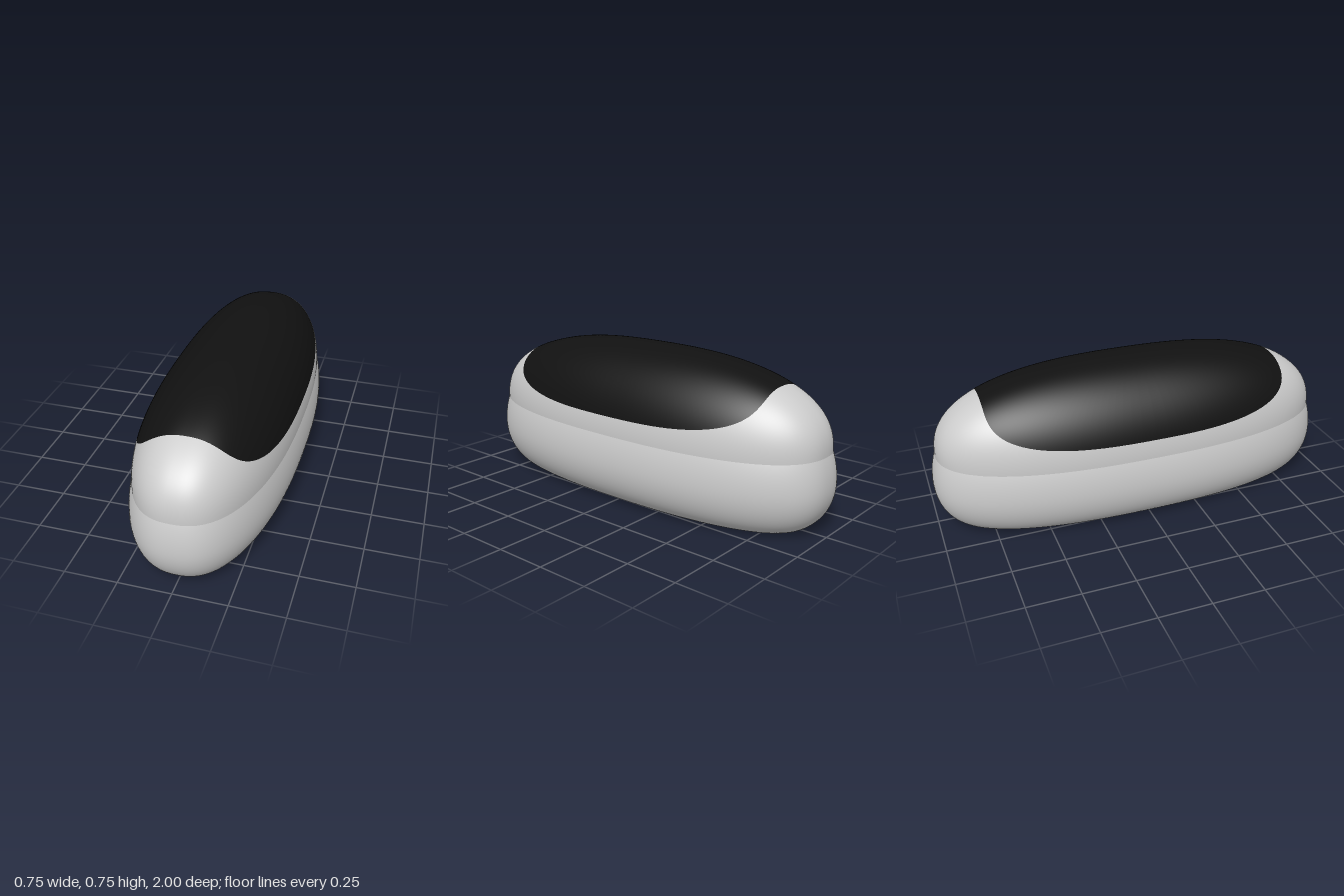
import * as THREE from 'three';

const SEGMENTS = 160;
const PLAN = 2.4;   // squareness of the plan outline
const SIDE = 2.45;  // squareness of the dome seen from the side

// Point on a superelliptic ring with half-width ax and half-length az
function ringPoint(i, ax, az, y) {
  const a = (i / SEGMENTS) * Math.PI * 2;
  const bend = (v) => (Math.abs(v) < 1e-9 ? 0 : Math.sign(v) * Math.abs(v) ** (2 / PLAN));
  return [ax * bend(Math.cos(a)), y, az * bend(Math.sin(a))];
}

// Closed skin from rows of points, listed from the bottom up
function skin(rows, pointAt) {
  const positions = [], index = [];
  for (let j = 0; j < rows; j++)
    for (let i = 0; i < SEGMENTS; i++) positions.push(...pointAt(i, j));
  for (let j = 0; j < rows - 1; j++)
    for (let i = 0; i < SEGMENTS; i++) {
      const n = (i + 1) % SEGMENTS;
      const a = j * SEGMENTS + i, b = j * SEGMENTS + n;
      const c = a + SEGMENTS, d = b + SEGMENTS;
      index.push(a, c, b, b, c, d);
    }
  const geometry = new THREE.BufferGeometry();
  geometry.setAttribute('position', new THREE.Float32BufferAttribute(positions, 3));
  geometry.setIndex(index);
  geometry.computeVertexNormals();
  return geometry;
}

// Dome point: phi runs from 0 at the rim to PI / 2 at the crown
function domePoint(i, phi) {
  const t = Math.min(1, Math.sin(phi));
  const ax = 0.355 * Math.cos(phi);
  const az = 0.976 * Math.max(0, 1 - t ** SIDE) ** (1 / SIDE);
  return ringPoint(i, ax, az, 0.36 + 0.39 * t);
}

// Is a dome point inside the dark panel?
function inPanel([, y, z]) {
  const s = Math.abs(z) / 0.75;
  return s < 1 && y > 0.65 - 0.205 * (1 - s ** 3) ** (1 / 3);
}

// Height angle at which the panel edge crosses one rib of the dome
function panelEdge(i) {
  let low = 0, high = Math.PI / 2;
  for (let k = 0; k < 40; k++) {
    const mid = (low + high) / 2;
    if (inPanel(domePoint(i, mid))) high = mid;
    else low = mid;
  }
  return high;
}

export function createModel() {
  const grey = new THREE.MeshStandardMaterial({ color: 0xcccccc });
  grey.name = 'light grey shell';
  const black = new THREE.MeshStandardMaterial({ color: 0x111111 });
  black.name = 'black panel';

  const model = new THREE.Group();
  model.name = 'capsule';

  // Lower shell: flat base, rounded edge, top tucked inside the dome
  const rings = [[0, 0, 0]];
  const steps = 20;
  for (let k = 0; k <= steps; k++) {
    const a = (k / steps) * Math.PI / 2;
    const inset = 0.145 * (1 - Math.sin(a));
    rings.push([0.375 - inset, 1 - 1.2 * inset, 0.22 * (1 - Math.cos(a))]);
  }
  for (let k = 1; k <= 10; k++) {
    const y = 0.22 + 0.017 * k;
    const inset = 0.02 * ((y - 0.22) / 0.133) ** 2;
    rings.push([0.375 - inset, 1 - inset, y]);
  }
  const lower = new THREE.Mesh(skin(rings.length, (i, j) => ringPoint(i, ...rings[j])), grey);
  lower.name = 'lowerShell';
  model.add(lower);

  // Dome: a skirt row, grey rows up to the panel edge, black rows to the crown
  const greyRows = 20, blackRows = 36;
  const edges = Array.from({ length: SEGMENTS }, (_, i) => panelEdge(i));
  const domeGeometry = skin(greyRows + blackRows + 2, (i, j) => {
    if (j === 0) return ringPoint(i, 0.355, 0.976, 0.33);
    const k = j - 1;
    const phi = k <= greyRows
      ? edges[i] * k / greyRows
      : edges[i] + (Math.PI / 2 - edges[i]) * (k - greyRows) / blackRows;
    return domePoint(i, phi);
  });
  const split = (greyRows + 1) * SEGMENTS * 6;
  domeGeometry.addGroup(0, split, 0);
  domeGeometry.addGroup(split, blackRows * SEGMENTS * 6, 1);
  const dome = new THREE.Mesh(domeGeometry, [grey, black]);
  dome.name = 'upperShellWithDarkPanel';
  model.add(dome);

  return model;
}
